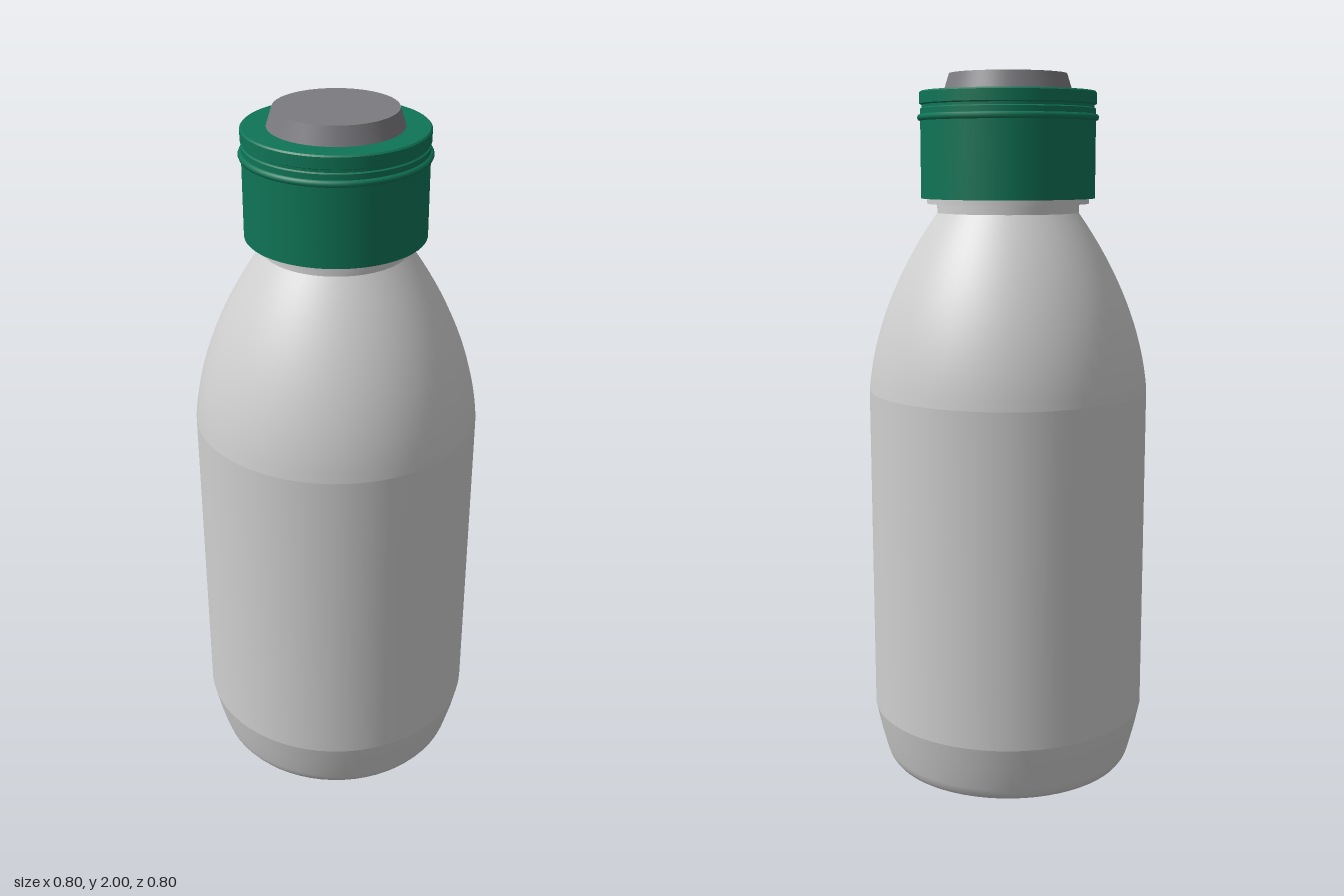
import * as THREE from 'three';
import { mergeGeometries } from 'three/addons/utils/BufferGeometryUtils.js';

const SEGMENTS = 64;

// Each run of [radius, y] points is smooth; edges between runs stay sharp.
function turned(name, material, runs) {
  const parts = runs.map(run => new THREE.LatheGeometry(
    run.map(([r, y]) => new THREE.Vector2(r, y)), SEGMENTS));
  const mesh = new THREE.Mesh(mergeGeometries(parts), material);
  mesh.name = name;
  return mesh;
}

// Turns a polyline into sharp-edged runs of two points.
const sharp = pts => pts.slice(1).map((p, i) => [pts[i], p]);

function flat(name, hex) {
  const m = new THREE.MeshStandardMaterial({ color: hex });
  m.name = name;
  return m;
}

export function createModel() {
  const model = new THREE.Group();
  model.name = 'bottle';
  const bodyGrey = flat('bodyGrey', 0xd0d0d0);
  const capGreen = flat('capGreen', 0x0f7556);
  const stopperGrey = flat('stopperGrey', 0x7c7b80);

  // Shoulder curves in from the straight wall to the neck
  const shoulder = [];
  for (let i = 0; i <= 16; i++) {
    const t = 0.5 * i / 16;
    shoulder.push([0.4 - 0.094 * t - 0.612 * t * t, 1.12 + t]);
  }

  model.add(turned('body', bodyGrey, [
    [[0, 0], [0.34, 0]],
    [[0.34, 0], [0.353, 0.005], [0.362, 0.018], [0.368, 0.036], [0.385, 0.1], [0.4, 0.17]],
    [[0.4, 0.17], [0.4, 1.12]],
    shoulder,
  ]));

  // Neck with the flange below the cap
  model.add(turned('neck', bodyGrey, sharp([
    [0.2, 1.62], [0.2, 1.645], [0.228, 1.645], [0.228, 1.662],
  ])));

  // Cap: skirt, rounded bead, groove and top rim
  model.add(turned('cap', capGreen, [
    ...sharp([[0.2, 1.66], [0.245, 1.66], [0.245, 1.872]]),
    [[0.245, 1.872], [0.251, 1.874], [0.254, 1.881], [0.251, 1.888], [0.245, 1.89]],
    ...sharp([[0.245, 1.89], [0.245, 1.905], [0.241, 1.908], [0.241, 1.915],
      [0.247, 1.918], [0.247, 1.948], [0.243, 1.952], [0.17, 1.952]]),
  ]));

  // Tapered stopper on top
  model.add(turned('stopper', stopperGrey, sharp([
    [0.18, 1.95], [0.164, 2], [0, 2],
  ])));

  return model;
}
